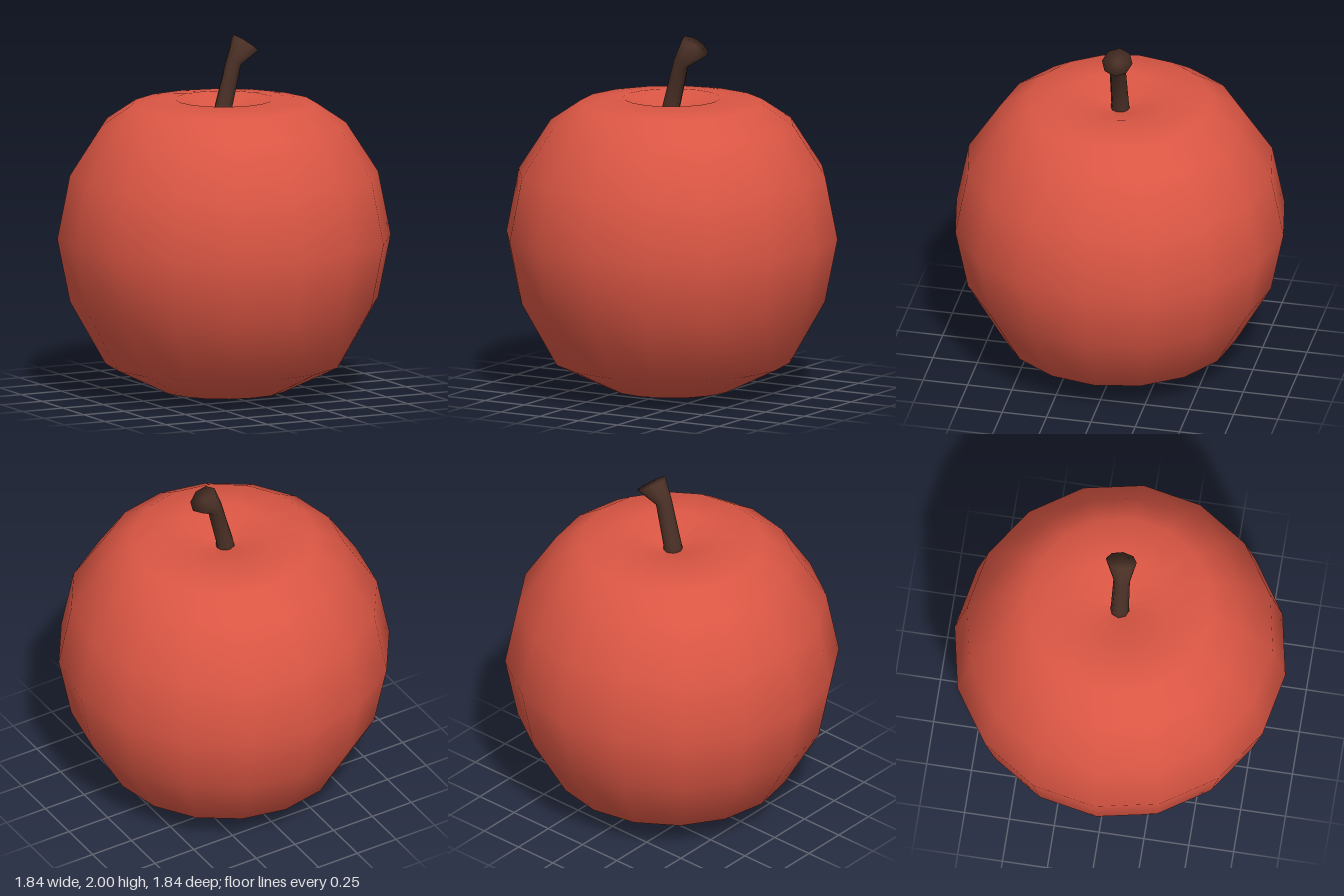
import * as THREE from 'three';

const skin = new THREE.MeshStandardMaterial({ name: 'red skin', color: 0xdb5644 });
const bark = new THREE.MeshStandardMaterial({ name: 'dark brown', color: 0x4a3026 });

function part(name, geometry, material, parent) {
  const mesh = new THREE.Mesh(geometry, material);
  mesh.name = name;
  parent.add(mesh);
  return mesh;
}

// Rings of [x, y, z, radius, tilt], joined into a closed smooth skin with end caps
function ringTube(rings, sides) {
  const positions = [], index = [];
  for (const [x, y, z, r, tilt] of rings) {
    for (let i = 0; i < sides; i++) {
      const a = (i / sides) * Math.PI * 2;
      const u = Math.cos(a) * r;
      positions.push(x + u * Math.cos(tilt), y - u * Math.sin(tilt), z + Math.sin(a) * r);
    }
  }
  for (let k = 0; k < rings.length - 1; k++) {
    for (let i = 0; i < sides; i++) {
      const j = (i + 1) % sides;
      const a = k * sides + i, b = k * sides + j, c = a + sides, d = b + sides;
      index.push(a, c, b, b, c, d);
    }
  }
  const last = rings.length - 1;
  const bottom = positions.length / 3, top = bottom + 1;
  positions.push(...rings[0].slice(0, 3), ...rings[last].slice(0, 3));
  for (let i = 0; i < sides; i++) {
    const j = (i + 1) % sides;
    index.push(bottom, i, j, top, last * sides + j, last * sides + i);
  }
  const geometry = new THREE.BufferGeometry();
  geometry.setAttribute('position', new THREE.Float32BufferAttribute(positions, 3));
  geometry.setIndex(index);
  geometry.computeVertexNormals();
  return geometry;
}

export function createModel() {
  const apple = new THREE.Group();
  apple.name = 'apple';

  // Body: a round profile with dimples at both ends
  const profile = [
    [0, 0.12], [0.12, 0.06], [0.345, 0.03], [0.655, 0.18], [0.852, 0.53], [0.922, 0.88],
    [0.852, 1.235], [0.675, 1.51], [0.51, 1.622], [0.27, 1.65], [0, 1.56],
  ].map(([r, y]) => new THREE.Vector2(r, y));
  part('body', new THREE.LatheGeometry(profile, 16), skin, apple);

  // Stem: leaning, bent and widening to a slanted cut end
  part('stem', ringTube([
    [-0.01, 1.53, 0, 0.06, 0.1],
    [-0.005, 1.6, 0, 0.05, 0.2],
    [0.06, 1.855, 0, 0.046, 0.5],
    [0.14, 1.95, -0.015, 0.086, 0.63],
  ], 8), bark, apple);

  // Dried blossom end under the body
  const blossom = part('blossomEnd', new THREE.SphereGeometry(0.125, 10, 6), bark, apple);
  blossom.scale.y = 0.28;
  blossom.position.y = 0.036;

  return apple;
}
